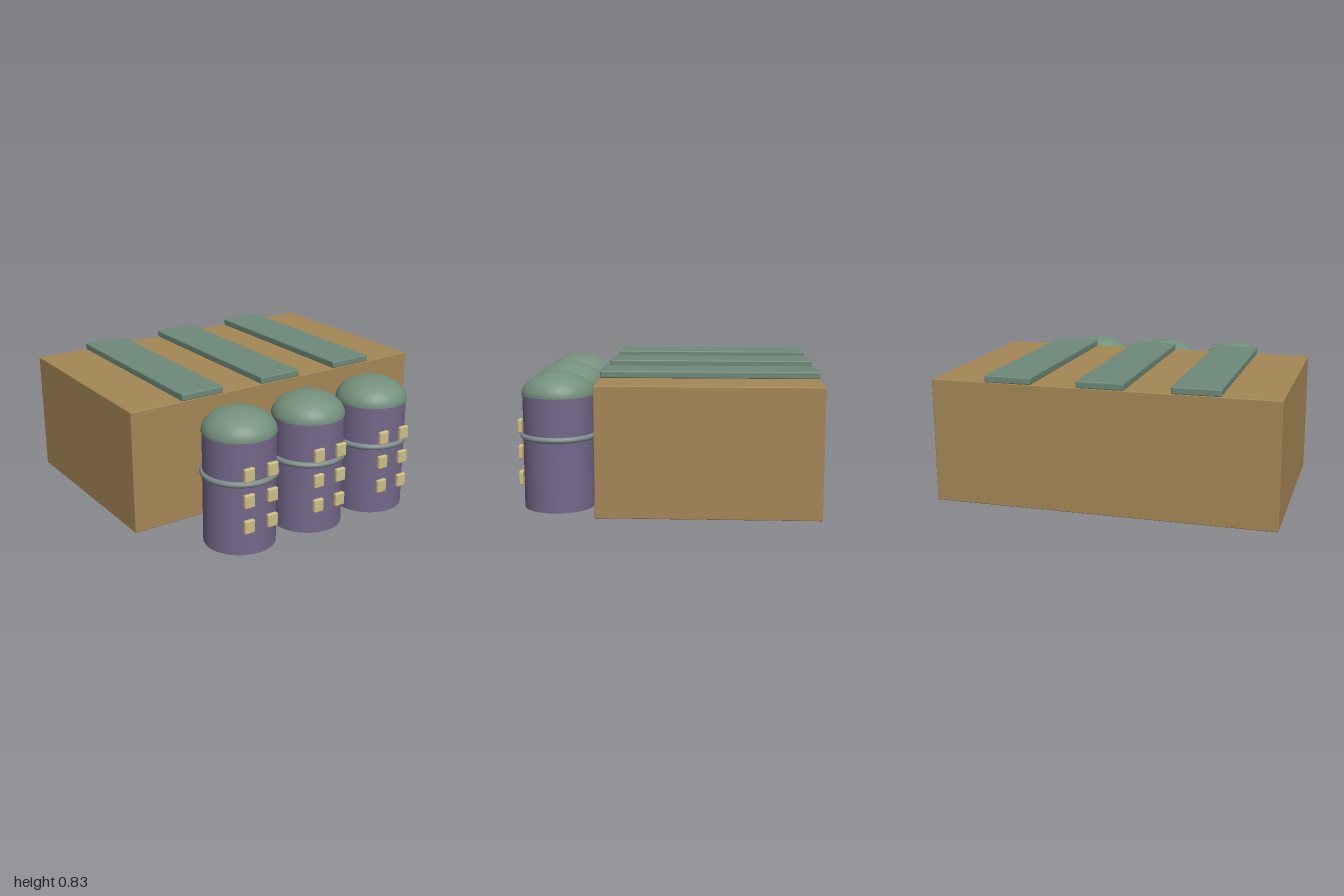
import * as THREE from 'three';
import { RoundedBoxGeometry } from 'three/addons/geometries/RoundedBoxGeometry.js';

const paint = (name, color, side = THREE.FrontSide) => {
  const m = new THREE.MeshStandardMaterial({ color, side });
  m.name = name;
  return m;
};

export function createModel() {
  const ochre = paint('ochre wall', 0xa58756);
  const purple = paint('purple tower', 0x74688a);
  const domeGreen = paint('green dome', 0x74907c, THREE.DoubleSide);
  const stripGreen = paint('green roof strip', 0x6d8979);
  const steel = paint('grey ring', 0x7e8c8c);
  const cream = paint('cream window', 0xcdbf86);

  const model = new THREE.Group();
  model.name = 'building';

  const add = (parent, name, geometry, material, x, y, z) => {
    const mesh = new THREE.Mesh(geometry, material);
    mesh.name = name;
    mesh.position.set(x, y, z);
    parent.add(mesh);
    return mesh;
  };

  // Main hall and the raised strips along its roof
  const depth = 1.232, midZ = -0.248;
  add(model, 'hall', new RoundedBoxGeometry(2, 0.726, depth, 2, 0.005), ochre, 0, 0.427, midZ);
  const stripGeo = new RoundedBoxGeometry(0.274, 0.042, depth, 2, 0.008);
  for (const x of [-0.538, 0, 0.538]) add(model, 'roofStrip', stripGeo, stripGreen, x, 0.809, midZ);

  // Windows on the hall front
  const windowGeo = new RoundedBoxGeometry(0.066, 0.079, 0.026, 2, 0.007);
  for (let i = -2; i <= 2; i++) {
    for (const y of [0.195, 0.35]) add(model, 'hallWindow', windowGeo, cream, i * 0.154, y, 0.386);
  }

  // Three domed towers, each with a ring and six windows
  const bodyGeo = new THREE.CylinderGeometry(0.208, 0.208, 0.666, 48);
  const domeGeo = new THREE.SphereGeometry(0.213, 48, 16, 0, Math.PI * 2, 0, Math.PI / 2);
  domeGeo.scale(1, 0.134 / 0.213, 1);
  const rimGeo = new THREE.CircleGeometry(0.213, 48).rotateX(Math.PI / 2);
  const ringGeo = new THREE.TorusGeometry(0.208, 0.0175, 12, 48).rotateX(Math.PI / 2);
  for (const x of [-0.477, 0, 0.477]) {
    const tower = new THREE.Group();
    tower.name = 'tower';
    tower.position.set(x, 0, 0.64);
    model.add(tower);
    add(tower, 'towerBody', bodyGeo, purple, 0, 0.333, 0);
    add(tower, 'dome', domeGeo, domeGreen, 0, 0.667, 0);
    add(tower, 'domeUnderside', rimGeo, domeGreen, 0, 0.667, 0);
    add(tower, 'ring', ringGeo, steel, 0, 0.427, 0);
    for (const wx of [-0.077, 0.077]) {
      for (const y of [0.183, 0.337, 0.491]) add(tower, 'towerWindow', windowGeo, cream, wx, y, 0.211);
    }
  }
  return model;
}
